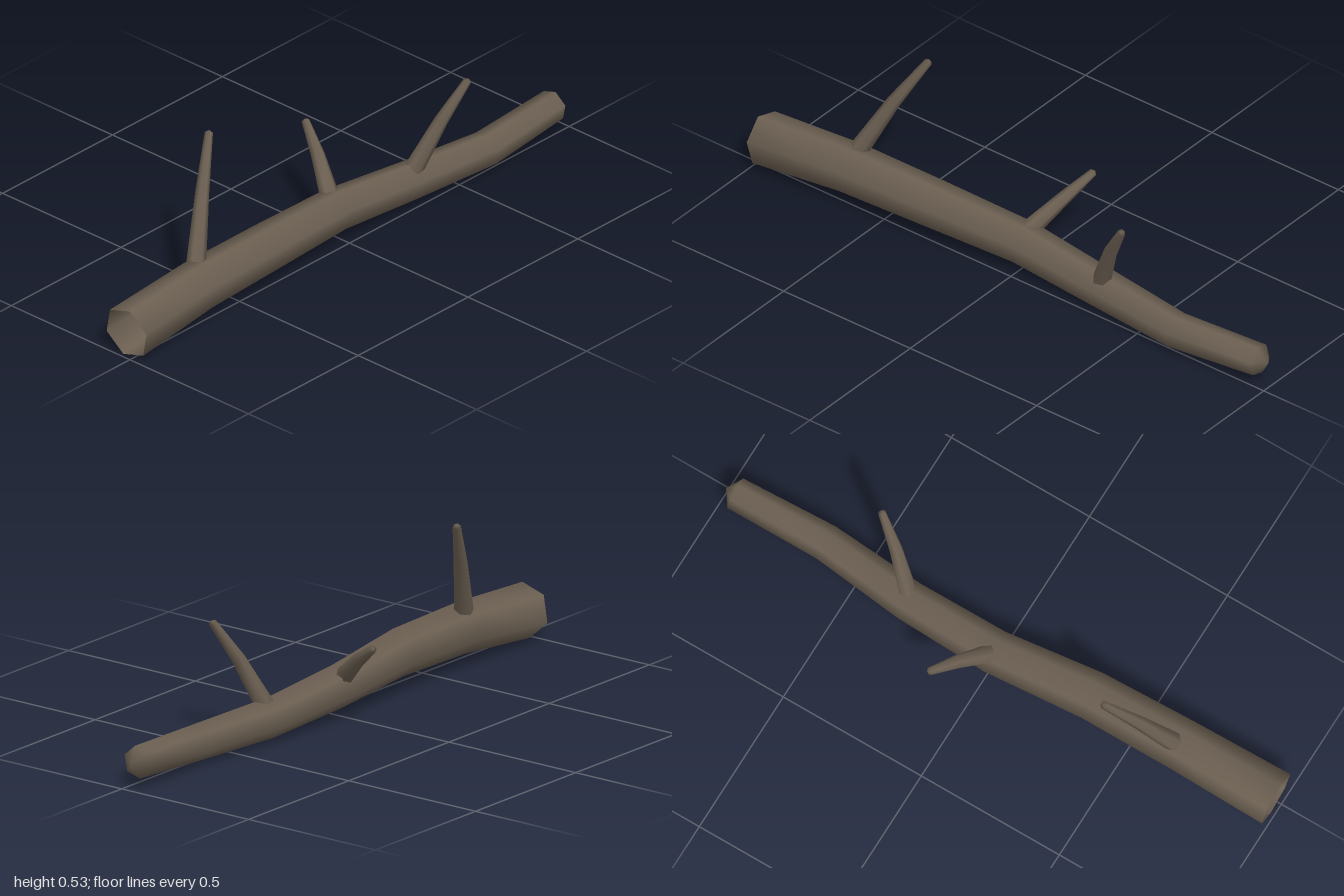
import * as THREE from 'three';

const SIDES = 6;

// Tapered six-sided limb: stations are [x, y, z, radius]; open at the base, pointed at the end.
function limb(stations, tipLength, twist) {
  const pts = stations.map(s => new THREE.Vector3(s[0], s[1], s[2]));
  const last = pts.length - 1;
  const positions = [], indices = [];
  const t = new THREE.Vector3(), u = new THREE.Vector3(), v = new THREE.Vector3();
  pts.forEach((p, i) => {
    t.subVectors(pts[Math.min(i + 1, last)], pts[Math.max(i - 1, 0)]).normalize();
    u.set(0, 0, 1).addScaledVector(t, -t.z).normalize();
    v.crossVectors(u, t);
    for (let j = 0; j < SIDES; j++) {
      const a = twist + (j / SIDES) * Math.PI * 2;
      const q = p.clone()
        .addScaledVector(u, Math.cos(a) * stations[i][3])
        .addScaledVector(v, Math.sin(a) * stations[i][3]);
      positions.push(q.x, q.y, q.z);
    }
  });
  const tip = pts[last].clone().addScaledVector(t, tipLength);
  positions.push(tip.x, tip.y, tip.z);
  const tipIndex = pts.length * SIDES;
  for (let i = 0; i <= last; i++) {
    for (let j = 0; j < SIDES; j++) {
      const a = i * SIDES + j, b = i * SIDES + (j + 1) % SIDES;
      if (i === last) indices.push(a, tipIndex, b);
      else indices.push(a, a + SIDES, b, b, a + SIDES, b + SIDES);
    }
  }
  const geometry = new THREE.BufferGeometry();
  geometry.setAttribute('position', new THREE.Float32BufferAttribute(positions, 3));
  geometry.setIndex(indices);
  geometry.computeVertexNormals();
  return geometry;
}

export function createModel() {
  const group = new THREE.Group();
  group.name = 'fallenBranch';
  const bark = new THREE.MeshStandardMaterial({ color: 0x6b5f51, side: THREE.DoubleSide });
  bark.name = 'bark';

  const add = (name, stations, tipLength, twist) => {
    const mesh = new THREE.Mesh(limb(stations, tipLength, twist), bark);
    mesh.name = name;
    group.add(mesh);
  };

  // Main limb, gently wavy
  add('mainLimb', [
    [-0.993, 0.088, -0.02, 0.088],
    [-0.66, 0.115, -0.028, 0.082],
    [-0.335, 0.117, -0.034, 0.077],
    [0, 0.098, -0.062, 0.07],
    [0.32, 0.073, -0.049, 0.064],
    [0.64, 0.068, -0.017, 0.058],
    [0.96, 0.085, -0.03, 0.052],
  ], 0.034, THREE.MathUtils.degToRad(17));

  // Side twigs
  add('tallTwig', [
    [-0.64, 0.18, -0.053, 0.031],
    [-0.55, 0.365, -0.112, 0.022],
    [-0.459, 0.522, -0.168, 0.013],
  ], 0.008, 0.3);
  add('backTwig', [
    [0.005, 0.135, -0.088, 0.031],
    [0.06, 0.222, -0.19, 0.022],
    [0.103, 0.287, -0.281, 0.013],
  ], 0.008, 0.3);
  add('frontTwig', [
    [0.332, 0.115, -0.036, 0.031],
    [0.404, 0.275, 0.012, 0.022],
    [0.48, 0.402, 0.053, 0.013],
  ], 0.008, 0.3);

  return group;
}
